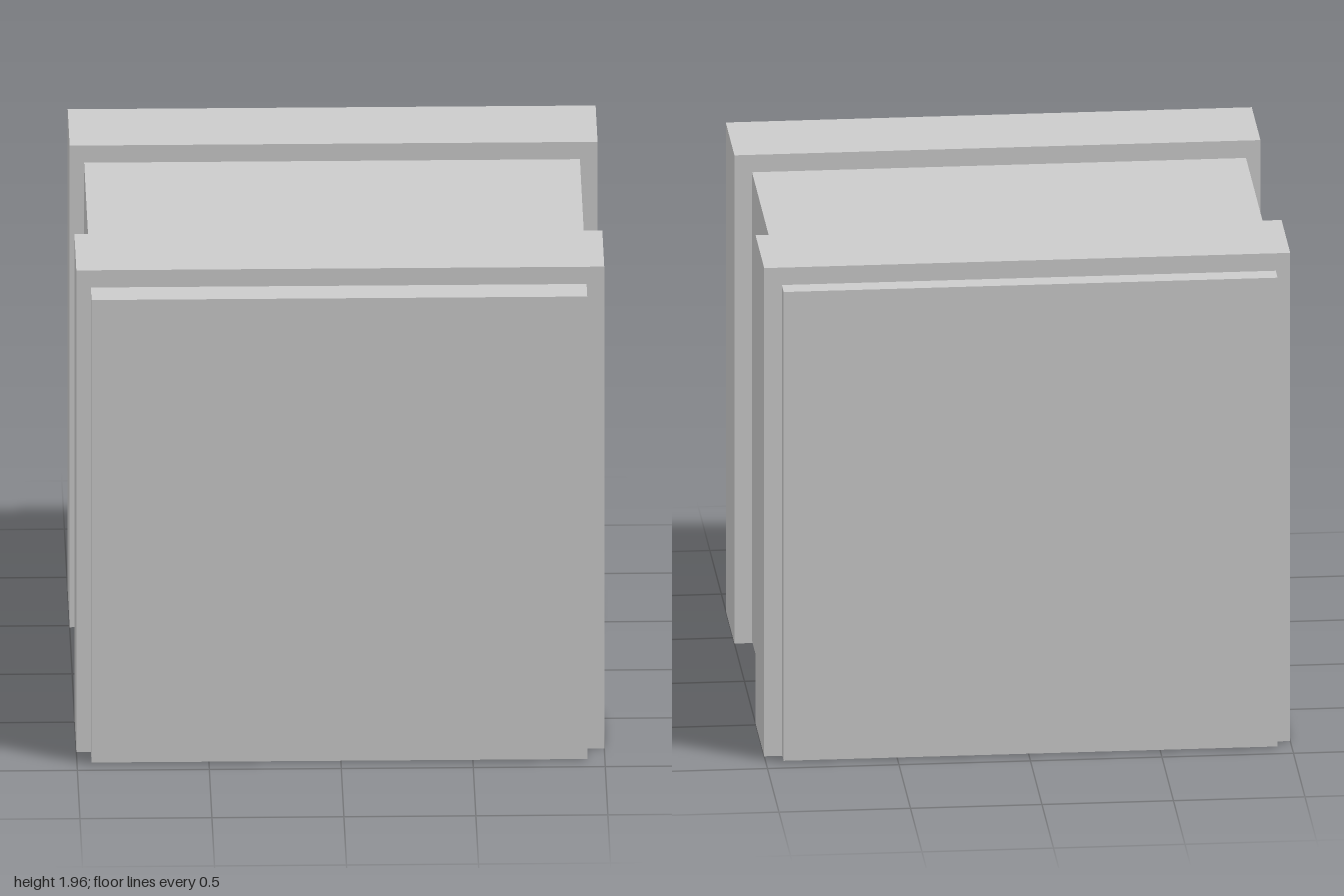
import * as THREE from 'three';

const material = new THREE.MeshStandardMaterial({ color: 0xcccccc, flatShading: true });

// Box spanning two opposite corners
function block(name, min, max) {
  const size = max.map((v, i) => v - min[i]);
  const mesh = new THREE.Mesh(new THREE.BoxGeometry(...size), material);
  mesh.position.set(...max.map((v, i) => (v + min[i]) / 2));
  mesh.name = name;
  return mesh;
}

export function createModel() {
  const group = new THREE.Group();
  group.name = 'bandedCrate';

  // Main body of the crate
  group.add(block('crateBody', [-0.945, 0.008, -0.94], [0.933, 1.89, 0.94]));

  // Raised bands wrapped around the body
  for (const [name, back, front] of [['frontBand', 0.433, 0.81], ['backBand', -0.86, -0.483]]) {
    group.add(block(name, [-1, 0, back], [1, 1.96, front]));
  }
  return group;
}
